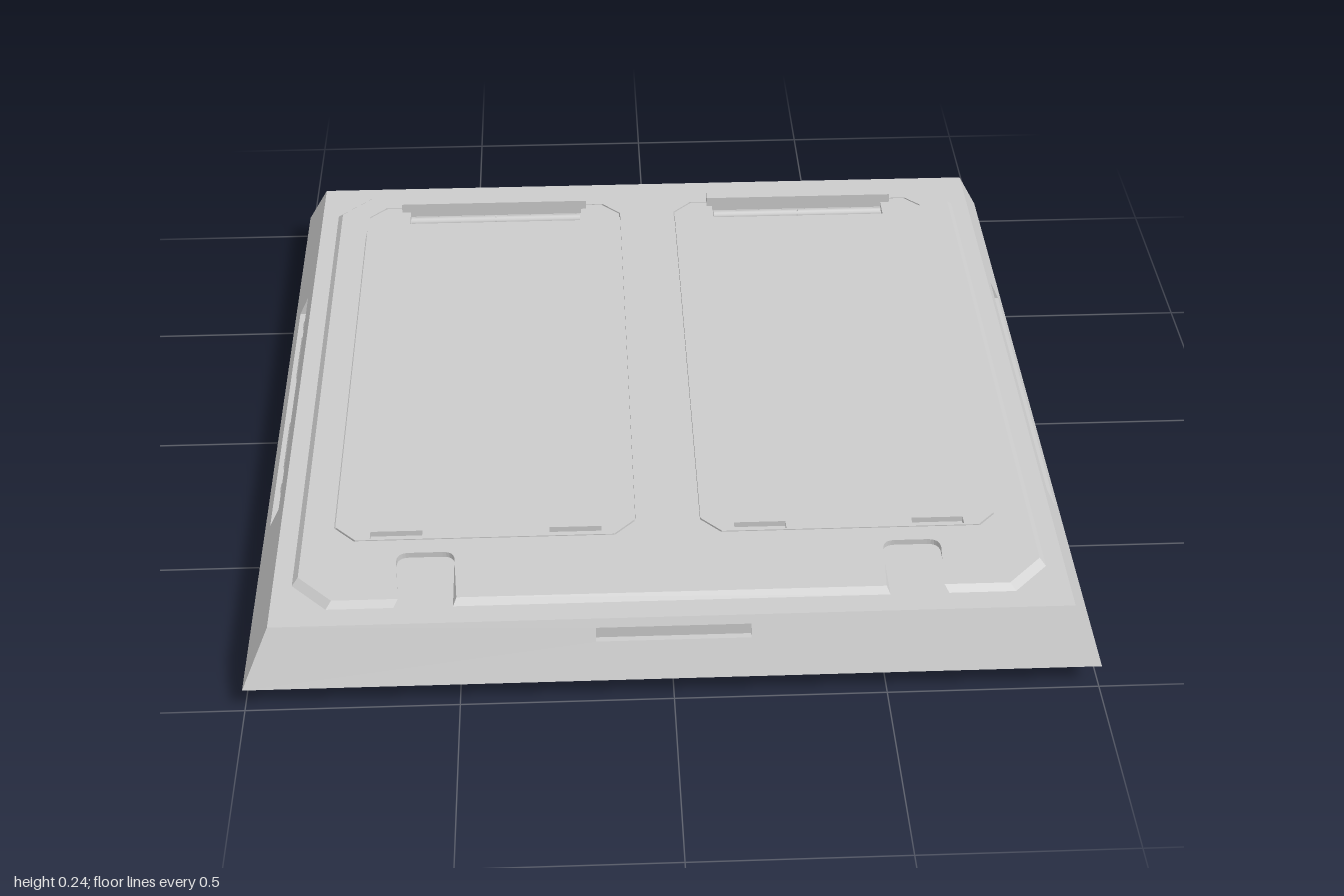
import * as THREE from 'three';

const grey = new THREE.MeshStandardMaterial({ color: 0xcccccc, side: THREE.DoubleSide });
const BOTTOM = 0.065, TOP = 0.2, DECK = 0.215, RIM = 0.935;

// distance of the sloping wall from the centre at height y
const wallAt = (y) => 1 - (1 - RIM) * (y - BOTTOM) / (TOP - BOTTOM);

const poly = (pts) => new THREE.Shape(pts.map(([x, y]) => new THREE.Vector2(x, y)));
const rect = (x0, y0, x1, y1) => poly([[x0, y0], [x1, y0], [x1, y1], [x0, y1]]);

// octagon: rectangle with cut corners
const cutRect = (x0, y0, x1, y1, c, d = c) => poly([
  [x0 + c, y0], [x1 - c, y0], [x1, y0 + d], [x1, y1 - d],
  [x1 - c, y1], [x0 + c, y1], [x0, y1 - d], [x0, y0 + d]]);

function add(parent, name, geometry, x = 0, y = 0, z = 0) {
  const mesh = new THREE.Mesh(geometry, grey);
  mesh.name = name;
  mesh.position.set(x, y, z);
  parent.add(mesh);
  return mesh;
}

// plate lying flat from y0 to y1; shape coordinates are (x, -z)
function plate(shape, y0, y1) {
  const g = new THREE.ExtrudeGeometry(shape, { depth: y1 - y0, bevelEnabled: false, curveSegments: 6 });
  return g.rotateX(-Math.PI / 2).translate(0, y0, 0);
}

// sloping wall facing +z, with an optional wedge-shaped slot [u0, y0, u1, y1]
function wall(name, slot) {
  const group = new THREE.Group();
  group.name = name;
  const shape = poly([[-1, BOTTOM], [1, BOTTOM], [RIM, TOP], [-RIM, TOP]]);
  if (slot) shape.holes.push(rect(...slot));
  const g = new THREE.ShapeGeometry(shape);
  const p = g.attributes.position;
  for (let i = 0; i < p.count; i++) p.setZ(i, wallAt(p.getY(i)));
  g.computeVertexNormals();
  add(group, 'slopingFace', g);
  if (slot) {
    const [u0, y0, u1, y1] = slot, w = u1 - u0, u = (u0 + u1) / 2;
    const back = wallAt(y1), front = wallAt(y0);
    add(group, 'slotBack', new THREE.PlaneGeometry(w, y1 - y0), u, (y0 + y1) / 2, back);
    add(group, 'slotFloor', new THREE.PlaneGeometry(w, front - back).rotateX(-Math.PI / 2),
      u, y0, (front + back) / 2);
    for (const end of [u0, u1]) {
      const tri = new THREE.ShapeGeometry(poly([[-back, y0], [-back, y1], [-front, y0]]));
      add(group, 'slotEnd', tri.rotateY(Math.PI / 2), end);
    }
  }
  return group;
}

const rod = (r, length) => new THREE.CylinderGeometry(r, r, length, 12).rotateZ(Math.PI / 2);

function makeBody() {
  const body = new THREE.Group();
  body.name = 'body';
  add(body, 'underside', new THREE.PlaneGeometry(2, 2).rotateX(Math.PI / 2), 0, BOTTOM);
  add(body, 'bodyTop', new THREE.PlaneGeometry(2 * RIM, 2 * RIM).rotateX(-Math.PI / 2), 0, TOP);
  body.add(wall('frontWall', [-0.18, 0.15, 0.18, 0.18]));
  const backWall = wall('backWall');
  backWall.rotation.y = Math.PI;
  body.add(backWall);
  for (const s of [1, -1]) {
    const side = wall(s > 0 ? 'leftWall' : 'rightWall',
      s > 0 ? [-0.465, 0.105, 0.445, 0.16] : [-0.445, 0.105, 0.465, 0.16]);
    // rail with thicker collars inside the side slot
    add(side, 'slotRail', new THREE.BoxGeometry(0.9, 0.026, 0.006), -s * 0.01, 0.129, 0.954);
    for (const [z, w] of [[0.19, 0.18], [0.36, 0.03], [-0.19, 0.18], [-0.34, 0.03]]) {
      add(side, 'slotCollar', rod(0.009, w), -s * z, 0.138, 0.952);
    }
    side.rotation.y = s * Math.PI / 2;
    body.add(side);
  }
  return body;
}

// raised deck with bevelled rim, two panel openings and two front notches
function makeDeck() {
  const shape = new THREE.Shape();
  const X = 0.89, Z = 0.88, C = 0.085, n0 = 0.51, n1 = 0.648, nz = -0.705, r = 0.03;
  shape.moveTo(-X + C, -Z);
  for (const [a, b] of [[-n1, -n0], [n0, n1]]) {
    shape.lineTo(a, -Z);
    shape.lineTo(a, nz - r);
    shape.quadraticCurveTo(a, nz, a + r, nz);
    shape.lineTo(b - r, nz);
    shape.quadraticCurveTo(b, nz, b, nz - r);
    shape.lineTo(b, -Z);
  }
  for (const [x, y] of [[X - C, -Z], [X, -Z + C], [X, Z - C], [X - C, Z], [-X + C, Z], [-X, Z - C], [-X, -Z + C]]) {
    shape.lineTo(x, y);
  }
  shape.closePath();
  for (const s of [1, -1]) {
    const x0 = s > 0 ? 0.077 : -0.803;
    shape.holes.push(cutRect(x0, -0.658, x0 + 0.726, 0.808, 0.05));
  }
  const g = plate(shape, TOP, DECK);
  const p = g.attributes.position;
  for (let i = 0; i < p.count; i++) {
    const x = p.getX(i), z = p.getZ(i);
    if (p.getY(i) > TOP + 0.01 && (Math.abs(x) > 0.85 || Math.abs(z) > 0.85)) {
      p.setXYZ(i, x * 0.984, DECK, z * 0.984);
    }
  }
  g.computeVertexNormals();
  return g;
}

// top panel with rear hinge slot, stop bar and two front tab slots
function makePanel(s) {
  const group = new THREE.Group();
  group.name = s > 0 ? 'leftPanel' : 'rightPanel';
  const span = (a, b) => (s > 0 ? [a, b] : [-b, -a]);
  const [x0, x1] = span(0.08, 0.8);
  const shape = cutRect(x0, -0.655, x1, 0.805, 0.05);
  const cut = (a, b, y0, y1) => {
    const [l, r] = span(a, b);
    shape.holes.push(rect(l, y0, r, y1));
  };
  cut(0.19, 0.68, 0.725, 0.785);
  cut(0.16, 0.285, -0.65, -0.625);
  cut(0.59, 0.715, -0.65, -0.625);
  add(group, 'panelPlate', plate(shape, TOP, DECK));
  add(group, 'stopBar', new THREE.BoxGeometry(0.53, 0.042, 0.035), s * 0.44, 0.221, -0.8025);
  for (const k of [-1, 1]) {
    add(group, 'hingeBarrel', rod(0.013, 0.24), s * 0.435 + k * 0.1225, 0.201, -0.757);
  }
  add(group, 'hingePin', rod(0.009, 0.48), s * 0.435, 0.201, -0.757);
  return group;
}

function makeFoot(x, z) {
  const foot = new THREE.Group();
  foot.name = 'foot';
  for (const [name, r, y0, y1] of [['footFlange', 0.127, 0.04, BOTTOM], ['footNeck', 0.093, 0.028, 0.04], ['footPad', 0.106, 0, 0.028]]) {
    add(foot, name, new THREE.CylinderGeometry(r, r, y1 - y0, 40), 0, (y0 + y1) / 2);
  }
  foot.position.set(x, 0, z);
  return foot;
}

export function createModel() {
  const model = new THREE.Group();
  model.name = 'platform';
  model.add(makeBody());
  add(model, 'deck', makeDeck());
  for (const s of [1, -1]) {
    model.add(makePanel(s));
    for (const t of [1, -1]) model.add(makeFoot(s * 0.808, t * 0.824));
  }
  return model;
}
